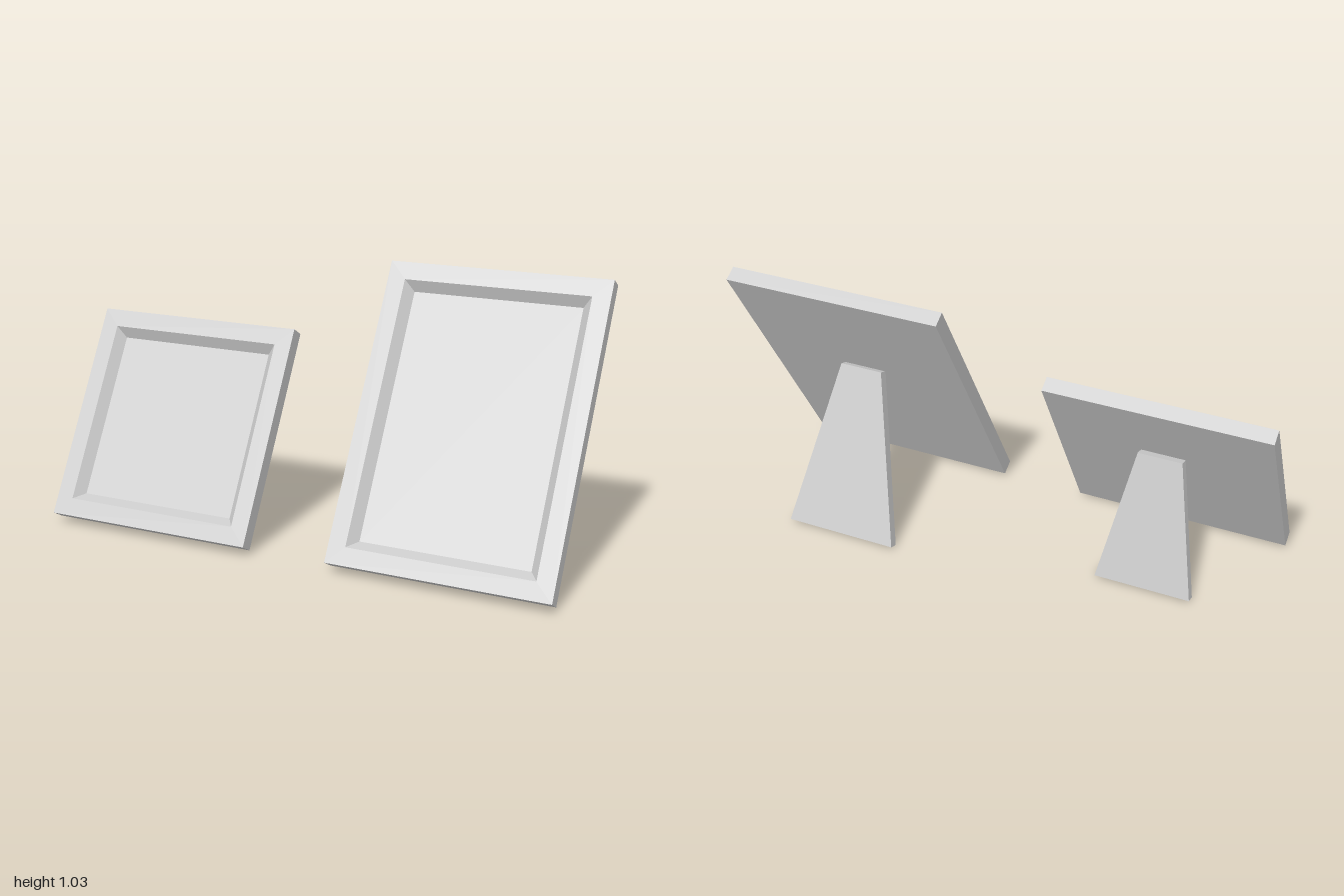
import * as THREE from 'three';

const material = new THREE.MeshStandardMaterial({ color: 0xcccccc, flatShading: true });
const THICK = 0.057;

// Flat-shaded solid lofted through rectangular rings [inset, z], capped at both ends
function loftRects(width, height, rings) {
  const corners = rings.map(([inset, z]) => {
    const x = width / 2 - inset, y0 = inset, y1 = height - inset;
    return [[-x, y0, z], [x, y0, z], [x, y1, z], [-x, y1, z]];
  });
  const pos = [];
  const quad = (a, b, c, d) => pos.push(...a, ...b, ...c, ...a, ...c, ...d);
  for (let r = 0; r < corners.length - 1; r++) {
    const lower = corners[r], upper = corners[r + 1];
    for (let i = 0; i < 4; i++) {
      const j = (i + 1) % 4;
      quad(lower[i], lower[j], upper[j], upper[i]);
    }
  }
  const first = corners[0], last = corners[corners.length - 1];
  quad(first[3], first[2], first[1], first[0]);
  quad(...last);
  const geometry = new THREE.BufferGeometry();
  geometry.setAttribute('position', new THREE.Float32BufferAttribute(pos, 3));
  geometry.computeVertexNormals();
  return geometry;
}

// Tapered board, front face at z = 0, thickness towards -z
function legGeometry(bottomWidth, topWidth, length, thickness) {
  const b = bottomWidth / 2, t = topWidth / 2;
  const shape = new THREE.Shape([
    new THREE.Vector2(-b, 0), new THREE.Vector2(b, 0),
    new THREE.Vector2(t, length), new THREE.Vector2(-t, length),
  ]);
  return new THREE.ExtrudeGeometry(shape, { depth: thickness, bevelEnabled: false })
    .translate(0, 0, -thickness);
}

function pictureFrame({ name, x, height, legWidth, legLength, legZ, legTilt }) {
  const group = new THREE.Group();
  group.name = name;
  group.position.x = x;

  // Leaning panel: back, outer rim, sloped inner moulding, recessed picture
  const panel = new THREE.Mesh(
    loftRects(0.836, height, [[0, -THICK], [0, 0], [0.067, 0], [0.1, -0.036]]), material);
  panel.name = 'framePanel';
  panel.position.set(0, 0.041, 0.332);
  panel.rotation.x = -Math.PI / 6;

  // Easel leg propping up the back
  const leg = new THREE.Mesh(legGeometry(legWidth, 0.167, legLength, 0.038), material);
  leg.name = 'easelLeg';
  leg.position.z = legZ;
  leg.rotation.x = THREE.MathUtils.degToRad(legTilt);

  group.add(panel, leg);
  return group;
}

export function createModel() {
  const model = new THREE.Group();
  model.name = 'pictureFrames';
  model.add(
    pictureFrame({ name: 'smallFrame', x: -0.582, height: 0.837,
      legWidth: 0.365, legLength: 0.514, legZ: -0.133, legTilt: 14.4 }),
    pictureFrame({ name: 'largeFrame', x: 0.582, height: 1.139,
      legWidth: 0.44, legLength: 0.654, legZ: -0.296, legTilt: 21.3 }),
  );
  return model;
}
